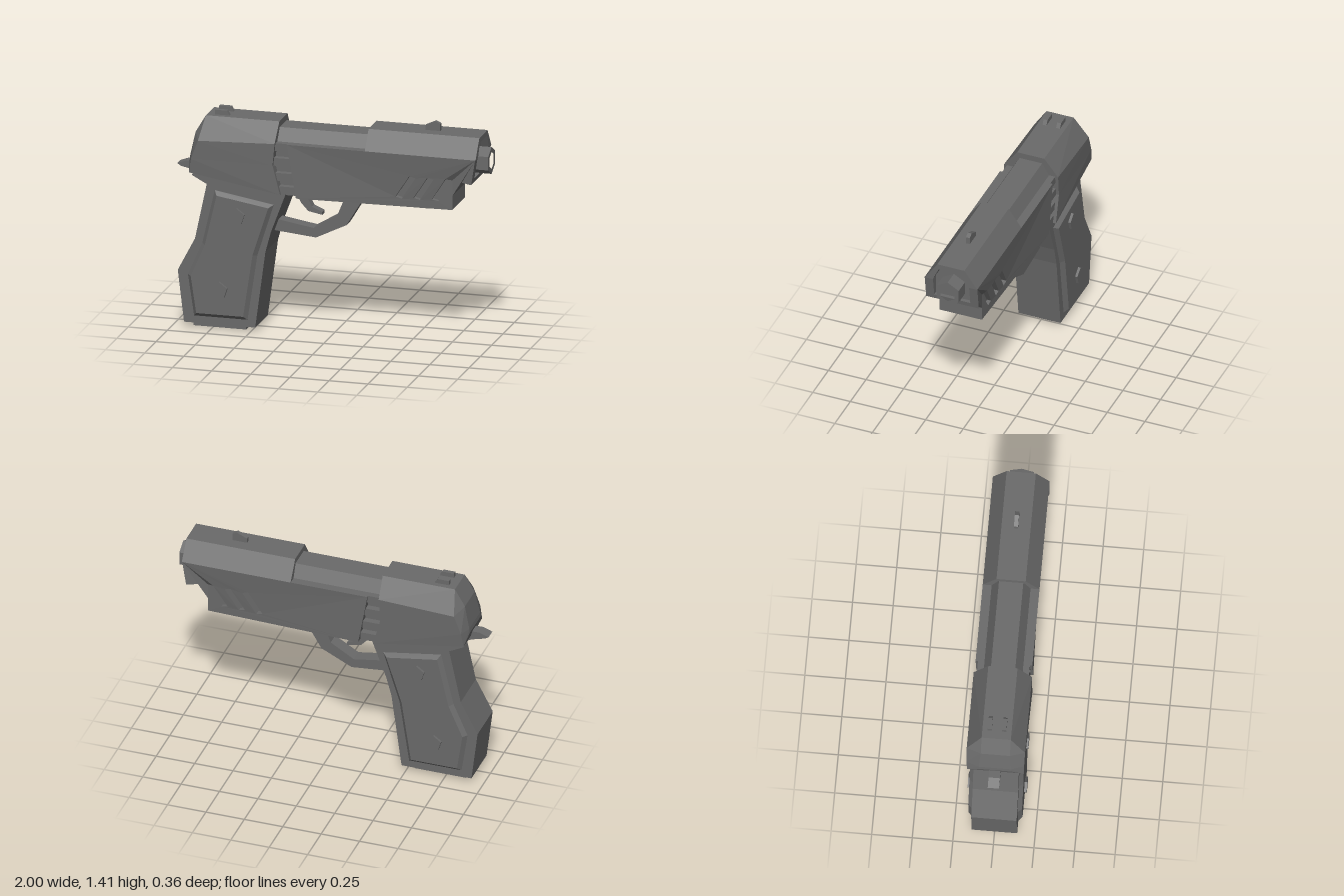
import * as THREE from 'three';
import { ConvexGeometry } from 'three/addons/geometries/ConvexGeometry.js';

export function createModel() {
  const model = new THREE.Group();
  const gunmetal = new THREE.MeshStandardMaterial({ color: 0x6a6a6a });
  gunmetal.name = 'gunmetal';

  // Adds a faceted mesh
  const add = (name, geometry) => {
    const g = geometry.index ? geometry.toNonIndexed() : geometry;
    g.computeVertexNormals();
    const mesh = new THREE.Mesh(g, gunmetal);
    mesh.name = name;
    model.add(mesh);
  };

  // Copies a geometry to the other side, keeping faces outward
  const mirrorZ = (geometry) => {
    const g = geometry.index ? geometry.toNonIndexed() : geometry.clone();
    const p = g.attributes.position;
    const a = new THREE.Vector3(), b = new THREE.Vector3();
    for (let i = 0; i < p.count; i += 3) {
      p.setZ(i, -p.getZ(i));
      a.fromBufferAttribute(p, i + 1);
      b.fromBufferAttribute(p, i + 2);
      p.setXYZ(i + 1, b.x, b.y, -b.z);
      p.setXYZ(i + 2, a.x, a.y, -a.z);
    }
    return g;
  };
  const addPair = (name, g) => {
    add(name + 'Left', g);
    add(name + 'Right', mirrorZ(g));
  };

  const outline = (pts) => new THREE.Shape(pts.map(([x, y]) => new THREE.Vector2(x, y)));

  // Side outline extruded across z, from z0 to z1
  const slab = (pts, z0, z1) =>
    new THREE.ExtrudeGeometry(outline(pts), { depth: z1 - z0, bevelEnabled: false }).translate(0, 0, z0);

  // Cross-section (z, y) extruded along x, from x0 to x1
  const bar = (pts, x0, x1) =>
    new THREE.ExtrudeGeometry(outline(pts), { depth: x1 - x0, bevelEnabled: false })
      .rotateY(Math.PI / 2).translate(x0, 0, 0);

  const box = (x0, x1, y0, y1, z0, z1) =>
    new THREE.BoxGeometry(x1 - x0, y1 - y0, z1 - z0)
      .translate((x0 + x1) / 2, (y0 + y1) / 2, (z0 + z1) / 2);

  // Convex block from half its corners
  const hull = (pts) => new ConvexGeometry(pts.flatMap(([x, y, z]) =>
    [new THREE.Vector3(x, y, z), new THREE.Vector3(x, y, -z)]));

  // Inner frame and chamfered slide core
  add('frame', slab([[-0.4, 0.93], [-0.28, 0.89], [0.79, 0.89], [0.79, 0.98], [0.85, 1.07],
    [0.92, 1.07], [0.925, 1.1], [0.9, 1.1], [0.9, 1.215], [-0.4, 1.215]], -0.12, 0.12));
  add('slideCore', bar([[-0.128, 1.215], [0.128, 1.215], [0.075, 1.31], [-0.075, 1.31]], -0.4, 0.9));

  // Tapered side panels with slanted slots
  const panelShape = outline([[-0.2, 0.89], [0.79, 0.89], [0.79, 0.98], [0.85, 1.07],
    [0.92, 1.07], [0.945, 1.23], [-0.26, 1.23]]);
  for (let i = 0; i < 3; i++) {
    const x = 0.43 + i * 0.115;
    const slot = [[x, 0.95], [x + 0.04, 0.94], [x + 0.13, 1.08], [x + 0.09, 1.09]];
    panelShape.holes.push(new THREE.Path(slot.map(([u, v]) => new THREE.Vector2(u, v))));
  }
  const panel = new THREE.ExtrudeGeometry(panelShape, { depth: 0.055, bevelEnabled: false }).translate(0, 0, 0.12);
  const pos = panel.attributes.position;
  for (let i = 0; i < pos.count; i++) {
    if (pos.getZ(i) < 0.15) continue;
    const x = pos.getX(i), y = pos.getY(i);
    let t = THREE.MathUtils.clamp((x + 0.2) / 0.99, 0, 1) * Math.min(1, (1.23 - y) / 0.3);
    if (x > 0.78 && x < 0.9) t = 1;
    if (x > 0.9) t = 0;
    pos.setZ(i, 0.175 - 0.034 * t);
  }
  addPair('sidePanel', panel);

  // Front slide cover, open at the muzzle
  add('frontSlideCover', bar([[-0.175, 1.23], [-0.12, 1.23], [-0.08, 1.315], [0.08, 1.315],
    [0.12, 1.23], [0.175, 1.23], [0.09, 1.35], [-0.09, 1.35]], 0.24, 0.948));

  // Hexagonal barrel with a bore
  const hexagon = (r) => Array.from({ length: 6 }, (_, i) =>
    [r * Math.sin(i * Math.PI / 3), 1.185 + r * Math.cos(i * Math.PI / 3)]);
  const barrel = outline(hexagon(0.086));
  barrel.holes.push(outline(hexagon(0.054)));
  add('barrel', new THREE.ExtrudeGeometry(barrel, { depth: 0.12, bevelEnabled: false })
    .rotateY(Math.PI / 2).translate(0.88, 0, 0));

  // Rear slide cover
  add('rearSlideCoverUpper', hull([[-0.33, 1.35, 0.09], [-0.335, 1.23, 0.18], [-0.348, 1.09, 0.18],
    [-0.8, 1.35, 0.09], [-0.825, 1.21, 0.18], [-0.87, 1.09, 0.178], [-0.865, 1.24, 0.09], [-0.897, 1.09, 0.1]]));
  add('rearSlideCoverLower', hull([[-0.348, 1.09, 0.18], [-0.3, 0.905, 0.18], [-0.87, 1.09, 0.178],
    [-0.885, 1.0, 0.172], [-0.897, 1.09, 0.1], [-0.9, 1.06, 0.1], [-0.885, 1.0, 0.1]]));

  // Ribs in the gap behind the side panels
  for (const y of [1.205, 1.11, 1.015, 0.93])
    addPair('rib', box(-0.36, -0.21 - (y - 0.93) * 0.15, y - 0.025, y + 0.025, 0.1, 0.16));

  // Hammer
  add('hammer', slab([[-1, 1.01], [-0.975, 0.995], [-0.93, 0.985], [-0.86, 0.96], [-0.86, 1.03],
    [-0.94, 1.032]], -0.035, 0.035));

  // Sights
  add('frontSight', slab([[0.58, 1.345], [0.675, 1.345], [0.675, 1.395], [0.645, 1.41],
    [0.58, 1.38]], -0.013, 0.013));
  addPair('rearSight', slab([[-0.75, 1.345], [-0.655, 1.345], [-0.675, 1.38], [-0.75, 1.38]], 0.032, 0.058));

  // Grip with bevelled panels and five-sided screws
  add('grip', slab([[-0.925, 0.03], [-0.47, 0.03], [-0.405, 0.52], [-0.37, 0.65], [-0.28, 0.89],
    [-0.28, 0.93], [-0.86, 1.01], [-0.875, 0.975], [-0.78, 0.925], [-0.855, 0.57], [-0.965, 0.36]], -0.14, 0.14));
  const gripPanel = new THREE.ExtrudeGeometry(outline([[-0.84, 0.1], [-0.54, 0.1], [-0.48, 0.5], [-0.38, 0.81],
    [-0.71, 0.863], [-0.785, 0.54], [-0.875, 0.335]]),
  { depth: 0.01, bevelEnabled: true, bevelThickness: 0.026, bevelSize: 0.024, bevelSegments: 1 });
  addPair('gripPanel', gripPanel.translate(0, 0, 0.13));
  for (const [x, y] of [[-0.58, 0.742], [-0.69, 0.26]])
    addPair('gripScrew', new THREE.CylinderGeometry(0.054, 0.054, 0.04, 5)
      .rotateX(Math.PI / 2).rotateZ(Math.PI).translate(x, y, 0.162));
  add('magazineBase', box(-0.875, -0.54, 0, 0.04, -0.1, 0.1));

  // Trigger and its guard
  add('triggerGuard', slab([[-0.4, 0.64], [-0.37, 0.635], [-0.11, 0.61], [0.085, 0.705], [0.2, 0.895],
    [0.08, 0.895], [0.025, 0.76], [-0.125, 0.67], [-0.4, 0.715]], -0.043, 0.043));
  add('trigger', slab([[-0.25, 0.9], [-0.21, 0.82], [-0.165, 0.77], [-0.075, 0.753], [-0.075, 0.772],
    [-0.14, 0.8], [-0.17, 0.86], [-0.17, 0.9]], -0.025, 0.025));

  // Mounting plate under the frame
  add('mountingPlate', box(0.43, 0.63, 0.865, 0.9, -0.07, 0.07));

  return model;
}
